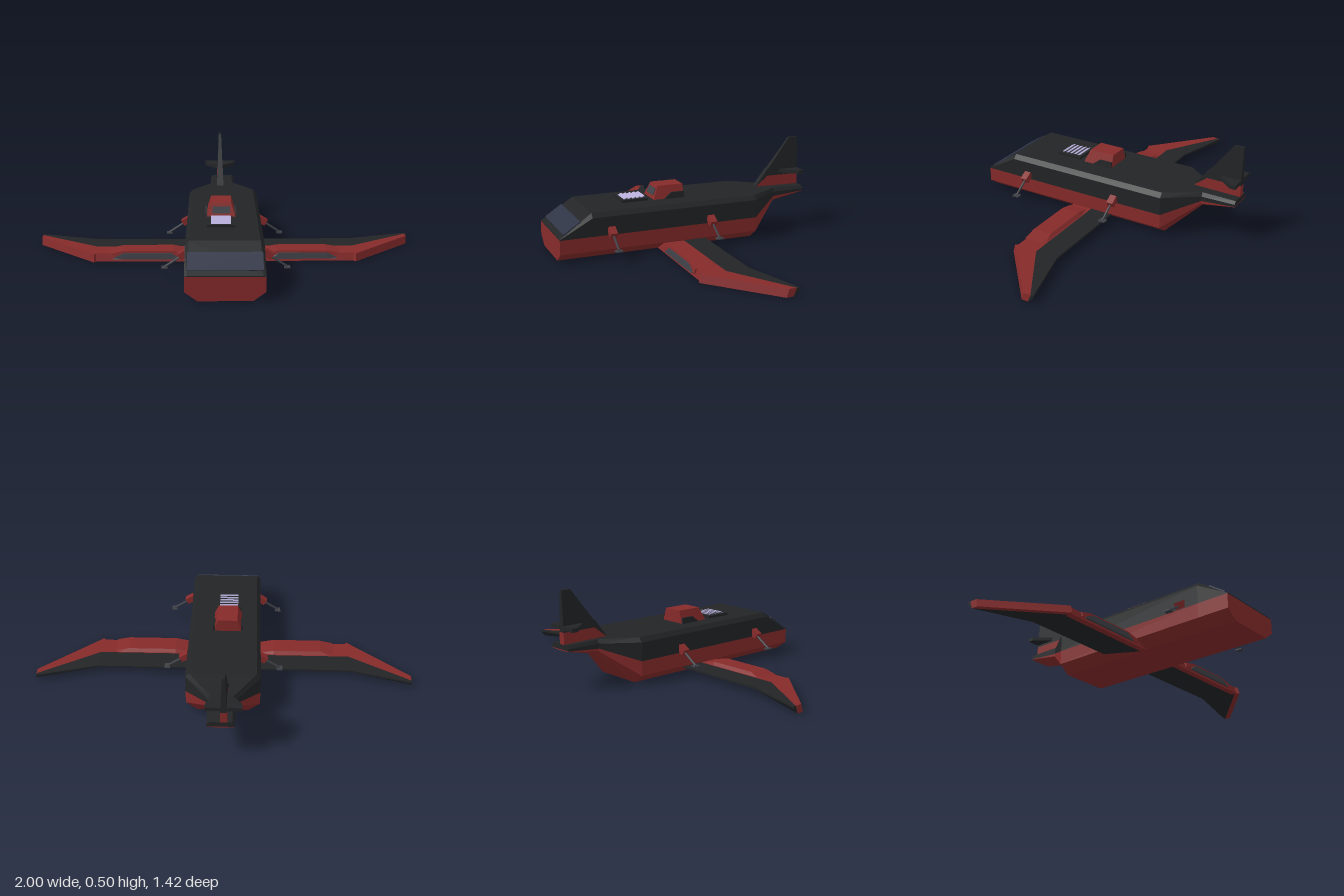
import * as THREE from 'three';

const mat = (color) => new THREE.MeshStandardMaterial({ color, flatShading: true });
const RED = mat(0x862a2a), BLACK = mat(0x222426), GLASS = mat(0x2f3446);
const GREY = mat(0x3e4046), SLAT = mat(0xb4acd6);

// Skin matching cross-sections (3D points, counter-clockwise seen from the first end) and cap both ends
function loft(sections) {
  const pos = [];
  const tri = (...p) => p.forEach((v) => pos.push(...v));
  const n = sections[0].length;
  for (let i = 0; i < sections.length - 1; i++) {
    for (let j = 0; j < n; j++) {
      const k = (j + 1) % n;
      const a = sections[i][j], b = sections[i][k], c = sections[i + 1][k], d = sections[i + 1][j];
      tri(a, d, c);
      tri(a, c, b);
    }
  }
  const s = sections[0], e = sections[sections.length - 1];
  for (let j = 1; j < n - 1; j++) {
    tri(s[0], s[j], s[j + 1]);
    tri(e[0], e[j + 1], e[j]);
  }
  const g = new THREE.BufferGeometry();
  g.setAttribute('position', new THREE.Float32BufferAttribute(pos, 3));
  g.computeVertexNormals();
  return g;
}

function add(parent, name, geometry, material, x = 0, y = 0, z = 0) {
  const m = new THREE.Mesh(geometry, material);
  m.name = name;
  m.position.set(x, y, z);
  parent.add(m);
  return m;
}

const box = (w, h, d) => new THREE.BoxGeometry(w, h, d);

// Sections across the wing: each is [x, [z, y] points]
const spanLoft = (list) => loft(list.map(([x, pts]) => pts.map(([z, y]) => [x, y, z])));

function fuselage(group) {
  // z, half width, seam y, lower chamfer y, bottom y, bottom half width, upper chamfer y, top y, top half width
  const stations = [
    [0.71, 0.19, 0.12, 0.045, 0, 0.13, 0.122, 0.125, 0.175],
    [0.54, 0.19, 0.12, 0.045, 0, 0.13, 0.215, 0.238, 0.17],
    [-0.36, 0.19, 0.12, 0.045, 0, 0.13, 0.215, 0.238, 0.17],
    [-0.53, 0.068, 0.19, 0.175, 0.16, 0.045, 0.215, 0.234, 0.055],
    [-0.71, 0.068, 0.205, 0.203, 0.2, 0.045, 0.217, 0.232, 0.055],
  ];
  const lower = stations.map(([z, w, s, c, b, bw]) =>
    [[-bw, b, z], [bw, b, z], [w, c, z], [w, s, z], [-w, s, z], [-w, c, z]]);
  const upper = stations.map(([z, w, s, , , , c, t, tw]) =>
    [[-w, s, z], [w, s, z], [w, c, z], [tw, t, z], [-tw, t, z], [-w, c, z]]);
  add(group, 'lowerHull', loft(lower), RED, -0.006);
  add(group, 'upperHull', loft(upper), BLACK, -0.006);
  const glass = add(group, 'windshield', box(0.355, 0.006, 0.106), GLASS, -0.005, 0.171, 0.643);
  glass.rotation.x = Math.atan2(0.113, 0.17);
}

function roofParts(group) {
  // Cabin hatch with sloped front and sides
  const hatch = (z, y, w) => [[-w[0], 0.235, z[0]], [w[0], 0.235, z[0]], [w[1], y, z[1]], [-w[1], y, z[1]]];
  add(group, 'hatch', loft([
    hatch([0.17, 0.14], 0.305, [0.075, 0.052]),
    hatch([0, 0], 0.305, [0.075, 0.052]),
  ]), RED, -0.02);
  const pane = add(group, 'hatchWindow', box(0.09, 0.038, 0.005), GREY, -0.02, 0.272, 0.155);
  pane.rotation.x = -Math.atan2(0.03, 0.07);
  for (const s of [-1, 1]) {
    add(group, 'hatchSidePanel', loft([
      [[-0.006, 0.235, 0.11], [0.006, 0.235, 0.11], [0.006, 0.24, 0.11], [-0.006, 0.24, 0.11]],
      [[-0.006, 0.235, 0.07], [0.006, 0.235, 0.07], [0.002, 0.27, 0.07], [-0.006, 0.27, 0.07]],
      [[-0.006, 0.235, 0], [0.006, 0.235, 0], [0.002, 0.27, 0], [-0.006, 0.27, 0]],
    ]), BLACK, -0.02 + s * 0.074);
  }
  // Louvred vent
  add(group, 'ventBase', box(0.14, 0.016, 0.14), BLACK, -0.022, 0.243, 0.27);
  for (let i = 0; i < 5; i++) {
    const slat = add(group, 'ventSlat', box(0.1, 0.004, 0.022), SLAT, -0.022, 0.254, 0.22 + i * 0.0235);
    slat.rotation.x = 0.4;
  }
}

function tail(group) {
  // Fin narrows towards its top; points are [z, y, half thickness]
  const fin = (pts) => loft([
    pts.map(([z, y, t]) => [-t, y, z]),
    pts.map(([z, y, t]) => [t, y, z]),
  ]);
  add(group, 'finBase', fin([[-0.45, 0.23, 0.018], [-0.527, 0.29, 0.016], [-0.71, 0.29, 0.016], [-0.71, 0.23, 0.018]]), RED, -0.02);
  add(group, 'fin', fin([[-0.5, 0.29, 0.016], [-0.66, 0.495, 0.007], [-0.71, 0.495, 0.007], [-0.71, 0.29, 0.016]]), BLACK, -0.02);
  add(group, 'finLeadingEdge', fin([[-0.45, 0.232, 0.019], [-0.527, 0.33, 0.015], [-0.54, 0.33, 0.015], [-0.52, 0.285, 0.017]]), BLACK, -0.02);
  // Swept tailplane
  const plane = new THREE.Shape([[-0.01, 0.59], [0.01, 0.59], [0.088, 0.68], [0.088, 0.71], [-0.088, 0.71], [-0.088, 0.68]]
    .map(([x, y]) => new THREE.Vector2(x, -y)));
  const g = new THREE.ExtrudeGeometry(plane, { depth: 0.02, bevelEnabled: false });
  g.rotateX(-Math.PI / 2);
  // Extrusion runs upward, so the outline's y becomes -z
  g.scale(1, 1, -1);
  const index = [];
  for (let i = 0; i < g.attributes.position.count; i += 3) index.push(i, i + 2, i + 1);
  g.setIndex(index);
  g.computeVertexNormals();
  add(group, 'tailplane', g, BLACK, -0.02, 0.302);
}

function wing() {
  const w = new THREE.Group();
  // x, front z, colour split z, rear z
  const plan = [[0.1, 0.175, 0.05, -0.07], [0.67, 0.175, 0.05, -0.07], [0.68, 0.188, 0.05, -0.07], [1, -0.095, -0.145, -0.16]];
  add(w, 'wingLeadingEdge', spanLoft(plan.map(([x, f, s, r]) =>
    [x, [[f, 0], [f - 0.012, 0.04], [s, 0.04], [f - 0.035, 0.001]]])), RED);
  add(w, 'wingPanel', spanLoft(plan.map(([x, f, s, r]) =>
    [x, [[f - 0.035, 0.001], [s, 0.04], [r, 0.04], [r, 0.03]]])), BLACK);
  // Raised intake housing and its dark opening
  add(w, 'intakeHousing', spanLoft([[0.2, 0.04], [0.27, 0.055], [0.53, 0.055], [0.6, 0.04]].map(([x, t]) =>
    [x, [[0.178, 0.015], [0.17, t], [0.07, t], [0.05, 0.035]]])), RED);
  add(w, 'intakeOpening', spanLoft([[0.24, 0.02], [0.28, 0.045], [0.53, 0.045], [0.58, 0.02]].map(([x, t]) =>
    [x, [[0.183, 0.014], [0.177, t], [0.165, t], [0.165, 0.014]]])), GREY);
  return w;
}

function landingLeg(z) {
  const leg = new THREE.Group();
  leg.name = 'landingLeg';
  const mount = add(leg, 'legMount', box(0.05, 0.034, 0.036), RED, 0.205, 0.138, z);
  mount.rotation.z = -0.55;
  const a = new THREE.Vector3(0.215, 0.128, z), b = new THREE.Vector3(0.3, 0.072, z);
  const strut = add(leg, 'strut', new THREE.CylinderGeometry(0.006, 0.006, a.distanceTo(b), 6), GREY);
  strut.position.copy(a).lerp(b, 0.5);
  strut.quaternion.setFromUnitVectors(new THREE.Vector3(0, 1, 0), b.clone().sub(a).normalize());
  add(leg, 'footPad', box(0.03, 0.006, 0.036), GREY, 0.3, 0.069, z);
  return leg;
}

export function createModel() {
  const group = new THREE.Group();
  group.name = 'aircraft';
  fuselage(group);
  roofParts(group);
  tail(group);
  // Wings and legs, mirrored to each side
  for (const s of [1, -1]) {
    const side = new THREE.Group();
    side.name = s > 0 ? 'leftSide' : 'rightSide';
    side.add(wing(), landingLeg(0.445), landingLeg(-0.095));
    side.scale.x = s;
    group.add(side);
  }
  return group;
}
